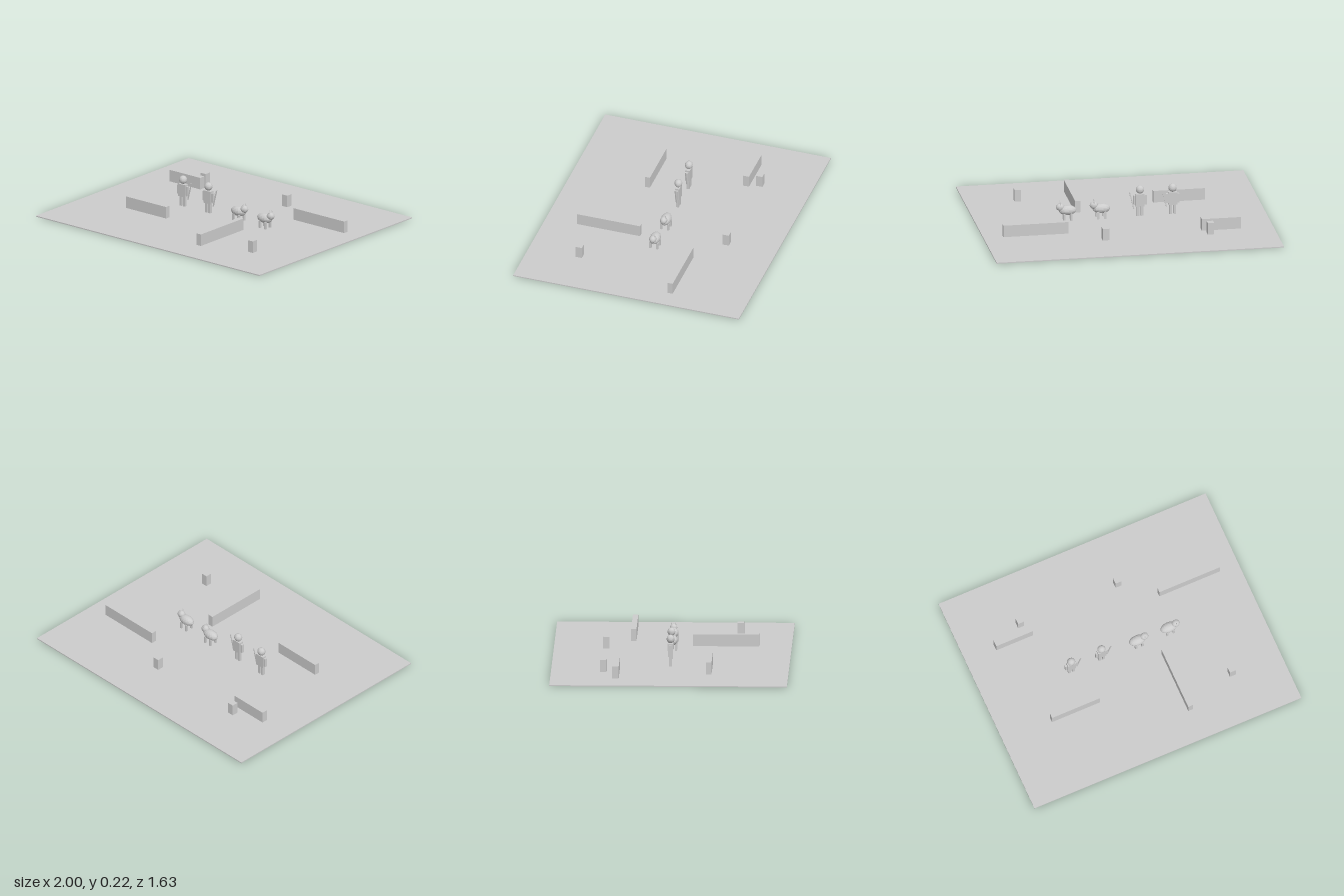
import * as THREE from 'three';

const material = new THREE.MeshStandardMaterial({ color: 0xcccccc });
const facetedMaterial = new THREE.MeshStandardMaterial({ color: 0xcccccc, flatShading: true });

function add(parent, name, geometry, x, y, z, mat = material) {
  const mesh = new THREE.Mesh(geometry, mat);
  mesh.name = name;
  mesh.position.set(x, y, z);
  parent.add(mesh);
  return mesh;
}

const box = (w, h, d) => new THREE.BoxGeometry(w, h, d);
const ellipsoid = (rx, ry, rz) => new THREE.SphereGeometry(1, 16, 10).scale(rx, ry, rz);

// Standing figure with a blade held at its left side
function createFighter(x) {
  const fighter = new THREE.Group();
  fighter.name = 'fighter';
  fighter.position.x = x;
  add(fighter, 'torso', box(0.06, 0.09, 0.032), 0, 0.12, 0);
  add(fighter, 'head', ellipsoid(0.029, 0.029, 0.027), 0, 0.195, 0, facetedMaterial);
  for (const side of [-1, 1]) {
    add(fighter, 'arm', box(0.015, 0.066, 0.018), side * 0.0385, 0.121, 0);
    add(fighter, 'leg', box(0.018, 0.072, 0.02), side * 0.0145, 0.04, 0);
  }
  const sword = add(fighter, 'sword', box(0.007, 0.125, 0.006), 0.058, 0.12, 0);
  sword.rotation.z = -0.25;
  return fighter;
}

// Four-legged animal facing +x with two horns
function createBeast(x) {
  const beast = new THREE.Group();
  beast.name = 'beast';
  beast.position.x = x;
  add(beast, 'body', ellipsoid(0.061, 0.034, 0.036), 0, 0.075, 0, facetedMaterial);
  add(beast, 'head', ellipsoid(0.029, 0.026, 0.025), 0.052, 0.1, 0, facetedMaterial);
  for (const side of [-1, 1]) {
    add(beast, 'horn', new THREE.ConeGeometry(0.006, 0.032, 8), 0.052, 0.128, side * 0.014);
    for (const lx of [-0.022, 0.027]) {
      add(beast, 'leg', box(0.015, 0.052, 0.014), lx, 0.031, side * 0.025);
    }
  }
  return beast;
}

export function createModel() {
  const model = new THREE.Group();
  model.name = 'arena';
  add(model, 'ground', box(2, 0.007, 1.63), 0, 0.0035, 0);

  // Low walls: centre x, centre z, width, depth
  const walls = [
    [-0.638, -0.367, 0.273, 0.045],
    [0.635, -0.273, 0.455, 0.037],
    [-0.456, 0.27, 0.36, 0.037],
    [0.27, 0.363, 0.037, 0.455],
  ];
  for (const [x, z, w, d] of walls) add(model, 'wall', box(w, 0.085, d), x, 0.0475, z);

  // Short posts
  for (const [x, z] of [[-0.55, -0.455], [0.18, -0.455], [0.636, 0.455]]) {
    add(model, 'post', box(0.045, 0.085, 0.045), x, 0.0475, z);
  }

  for (const x of [-0.366, -0.139]) model.add(createFighter(x));
  for (const x of [0.13, 0.365]) model.add(createBeast(x));
  return model;
}
